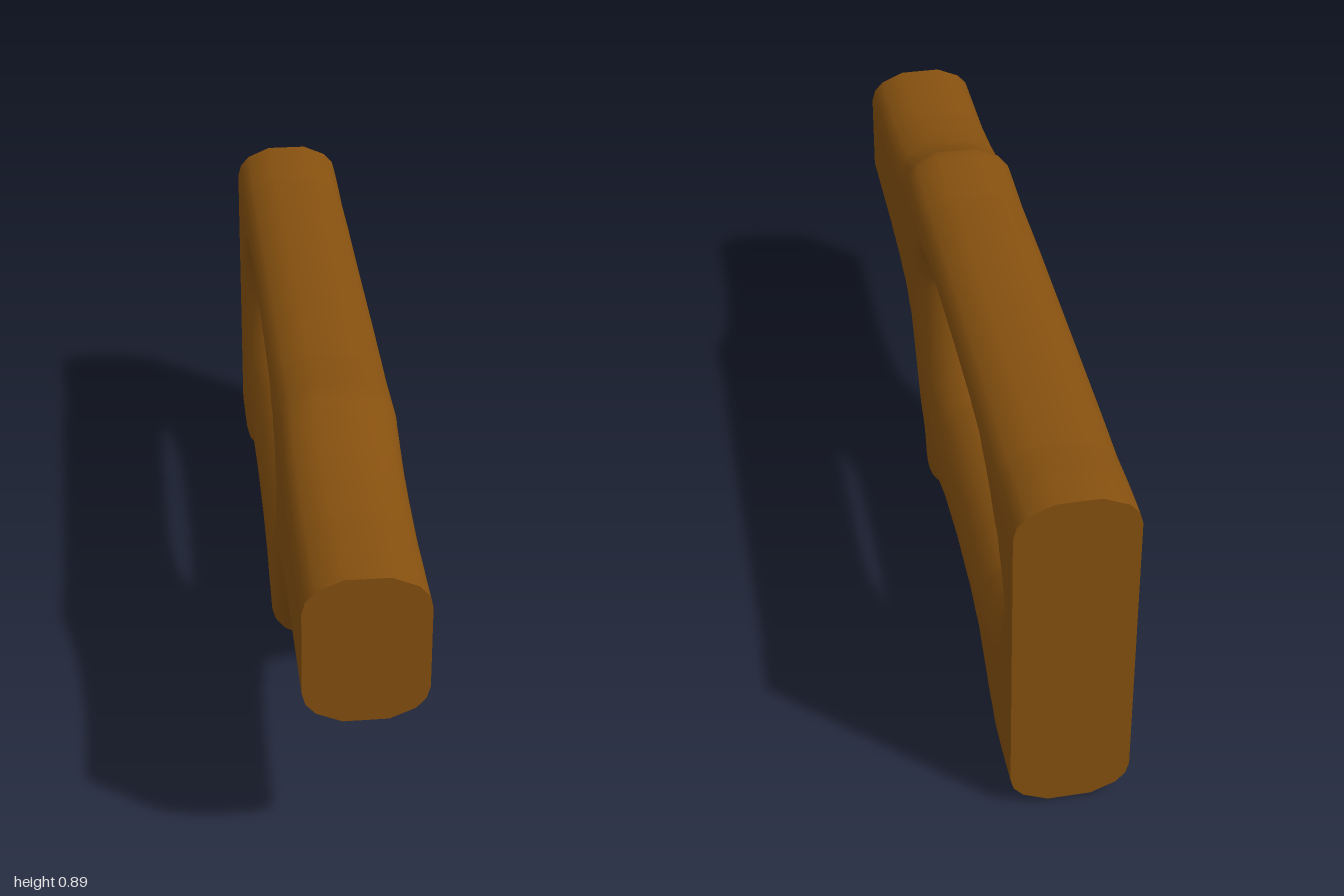
import * as THREE from 'three';
import { toCreasedNormals } from 'three/addons/utils/BufferGeometryUtils.js';

// Side outlines as [z, y], running from front to back
const TOP = [[1, .787], [.75, .787], [.62, .803], [.54, .82], [.46, .853], [.41, .878], [.37, .881], [.2, .871],
  [0, .877], [-.65, .877], [-.8, .874], [-.9, .883], [-1, .886]];
const BOTTOM = [[1, .423], [.7, .42], [.55, .41], [.45, .39], [.4, .36], [.35, .29], [.2, .06], [.15, .027],
  [.11, .018], [.07, .035], [-.03, .1], [-.15, .135], [-.33, .153], [-.5, .147], [-.6, .12], [-.7, .055],
  [-.78, .013], [-.82, .003], [-.9, 0], [-1, .005]];
const HOLE_TOP = [[.208, .6], [.2, .632], [.18, .657], [.14, .685], [.05, .705], [-.1, .715], [-.3, .718],
  [-.5, .715], [-.6, .702], [-.7, .65], [-.76, .59], [-.783, .545], [-.787, .52]];
const HOLE_BOTTOM = [[.208, .6], [.19, .56], [.15, .5], [.1, .45], [.03, .4], [0, .39], [-.3, .388],
  [-.6, .398], [-.7, .425], [-.75, .455], [-.78, .495], [-.787, .52]];
const HOLE_FRONT = .208, HOLE_BACK = -.787;

// Half width against distance from the outer edge
const BEVEL = [[.3, .137], [.08, .137], [.05, .129], [.025, .107], [0, .05]];

// Linear lookup in a list ordered by falling first value
function lookup(list, v) {
  if (v >= list[0][0]) return list[0][1];
  for (let i = 1; i < list.length; i++) {
    const [a, ya] = list[i - 1], [b, yb] = list[i];
    if (v >= b) return ya + (yb - ya) * (a - v) / (a - b);
  }
  return list[list.length - 1][1];
}

// Shortest distance from a point to a polyline
function distance(list, z, y) {
  let best = Infinity;
  for (let i = 1; i < list.length; i++) {
    const [z0, y0] = list[i - 1], dz = list[i][0] - z0, dy = list[i][1] - y0;
    const t = THREE.MathUtils.clamp(((z - z0) * dz + (y - y0) * dy) / (dz * dz + dy * dy), 0, 1);
    best = Math.min(best, Math.hypot(z - z0 - t * dz, y - y0 - t * dy));
  }
  return best;
}

// Bevelled outside, softly rounded towards the hole
function halfWidth(z, y) {
  const outer = lookup(BEVEL, Math.min(distance(TOP, z, y), distance(BOTTOM, z, y)));
  const radius = THREE.MathUtils.lerp(.15, .1, THREE.MathUtils.smoothstep(y, .5, .75));
  const d = Math.min(distance(HOLE_TOP, z, y), distance(HOLE_BOTTOM, z, y));
  const k = 1 - Math.min(1, d / radius);
  return outer * Math.sqrt(Math.max(0, 1 - k * k));
}

// Slices crowd together at both ends of the hole
function sliceZ() {
  const z = [];
  for (let i = 0; i < 50; i++) z.push(HOLE_FRONT + (1 - HOLE_FRONT) * (1 - i / 50) ** 2);
  for (let i = 0; i < 70; i++) {
    z.push(THREE.MathUtils.lerp(HOLE_FRONT, HOLE_BACK, (1 - Math.cos(Math.PI * i / 70)) / 2));
  }
  for (let i = 0; i <= 24; i++) z.push(HOLE_BACK + (-1 - HOLE_BACK) * (i / 24) ** 2);
  return z;
}

// Heights from an outer edge to the hole edge or middle line
function strip(edge, inner, z) {
  const y0 = lookup(edge, z), y1 = lookup(inner, z);
  const slope = (lookup(edge, z + .02) - lookup(edge, z - .02)) / .04;
  const span = Math.abs(y1 - y0);
  const scale = Math.min(Math.hypot(1, slope), span * .55 / .08);
  const offsets = [0, .0125, .025, .0375, .05, .065, .08].map(d => d * scale);
  const start = offsets[offsets.length - 1];
  for (let k = 1; k <= 9; k++) offsets.push(span - (span - start) * (1 - k / 9) ** 2);
  return offsets.map(d => y0 + Math.sign(y1 - y0) * d);
}

function buildBody() {
  const zs = sliceZ(), pos = [], index = [];
  let rows = 0, half = 0;
  for (const z of zs) {
    const upper = strip(TOP, HOLE_TOP, z), lower = strip(BOTTOM, HOLE_BOTTOM, z).reverse();
    const ys = [...upper, ...lower];
    rows = ys.length;
    half = upper.length;
    for (const y of ys) {
      const w = halfWidth(z, y);
      pos.push(w, y, z, -w, y, z);
    }
  }
  const id = (i, j, side) => (i * rows + j) * 2 + side;
  const quad = (a, b, c, d) => index.push(a, b, c, a, c, d);
  const last = zs.length - 1;
  for (let i = 0; i < last; i++) {
    // Two flanks, left open between the upper and lower strips
    for (let j = 0; j < rows - 1; j++) {
      if (j === half - 1) continue;
      quad(id(i, j, 0), id(i, j + 1, 0), id(i + 1, j + 1, 0), id(i + 1, j, 0));
      quad(id(i, j, 1), id(i + 1, j, 1), id(i + 1, j + 1, 1), id(i, j + 1, 1));
    }
    // Flat top and bottom ridges
    const b = rows - 1;
    quad(id(i, 0, 0), id(i + 1, 0, 0), id(i + 1, 0, 1), id(i, 0, 1));
    quad(id(i, b, 0), id(i, b, 1), id(i + 1, b, 1), id(i + 1, b, 0));
  }
  // Flat front and back faces
  for (let j = 0; j < rows - 1; j++) {
    if (j === half - 1) continue;
    quad(id(0, j, 1), id(0, j + 1, 1), id(0, j + 1, 0), id(0, j, 0));
    quad(id(last, j, 0), id(last, j + 1, 0), id(last, j + 1, 1), id(last, j, 1));
  }
  const geometry = new THREE.BufferGeometry();
  geometry.setAttribute('position', new THREE.Float32BufferAttribute(pos, 3));
  geometry.setIndex(index);
  // Enlarged while creasing so close vertices stay distinct
  geometry.scale(100, 100, 100);
  const creased = toCreasedNormals(geometry, .7);
  creased.scale(.01, .01, .01);
  return creased;
}

export function createModel() {
  const wood = new THREE.MeshStandardMaterial({ color: 0x85500f });
  wood.name = 'brown wood';
  const body = new THREE.Mesh(buildBody(), wood);
  body.name = 'thumbholeStock';
  const group = new THREE.Group();
  group.name = 'woodenStock';
  group.add(body);
  return group;
}
